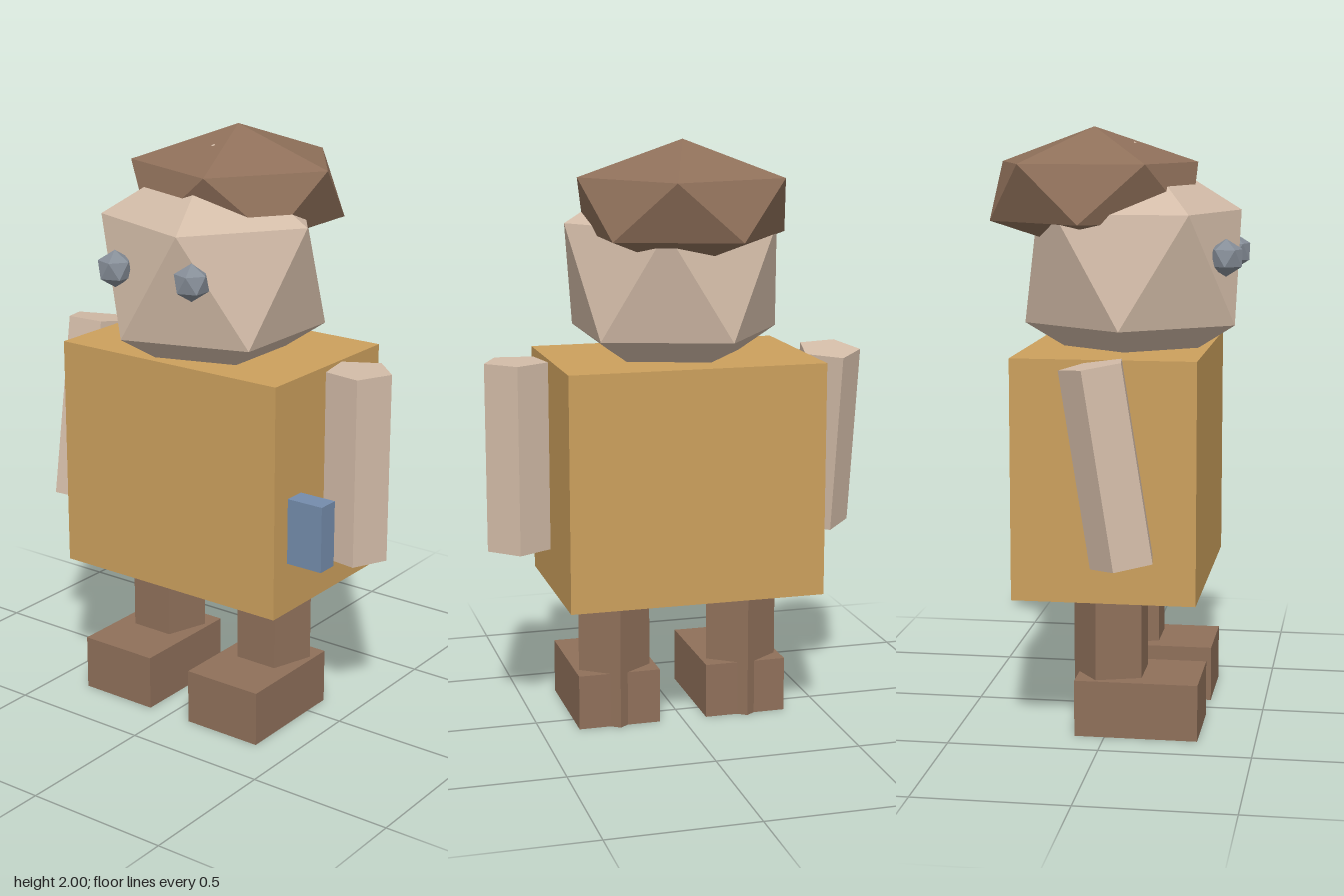
import * as THREE from 'three';

const mat = (name, color) => {
  const m = new THREE.MeshStandardMaterial({ color });
  m.name = name;
  return m;
};

// Faceted normals, one per face
function faceted(geo) {
  const g = geo.index ? geo.toNonIndexed() : geo;
  g.computeVertexNormals();
  return g;
}

// Icosahedron standing on a vertex: two five-point rings between two poles
function standingIcosahedron(radius, height = radius) {
  const ring = (y, offset) => Array.from({ length: 5 }, (_, k) => {
    const a = (k + offset) * Math.PI * 0.4;
    return [Math.cos(a) * radius * 0.8944, y * height, Math.sin(a) * radius * 0.8944];
  });
  const upper = ring(0.4472, 0), lower = ring(-0.4472, 0.5);
  const top = [0, height, 0], bottom = [0, -height, 0];
  const p = [];
  for (let k = 0; k < 5; k++) {
    const n = (k + 1) % 5;
    p.push(...top, ...upper[n], ...upper[k]);
    p.push(...upper[k], ...upper[n], ...lower[k]);
    p.push(...lower[k], ...upper[n], ...lower[n]);
    p.push(...lower[k], ...lower[n], ...bottom);
  }
  const g = new THREE.BufferGeometry();
  g.setAttribute('position', new THREE.Float32BufferAttribute(p, 3));
  return faceted(g);
}

// Five-sided post with one edge pointing to the back
function post(radius, height, twist = 0) {
  const g = new THREE.CylinderGeometry(radius, radius, height, 5);
  g.rotateY(Math.PI + twist);
  return faceted(g);
}

export function createModel() {
  const model = new THREE.Group();
  const skin = mat('skin', 0xd3bca8);
  const brown = mat('brown', 0x8f705a);
  const ochre = mat('ochre', 0xcca05d);
  const blue = mat('blue', 0x748cac);
  const grey = mat('grey', 0x868e98);

  const add = (name, geo, material, x, y, z) => {
    const m = new THREE.Mesh(geo, material);
    m.name = name;
    m.position.set(x, y, z);
    model.add(m);
    return m;
  };

  // Torso, head and hair
  add('torso', new THREE.BoxGeometry(0.875, 0.795, 0.605), ochre, -0.002, 0.8725, 0.007);
  add('head', standingIcosahedron(0.414), skin, 0, 1.536, 0.047);
  add('hair', standingIcosahedron(0.397, 0.215), brown, 0, 1.785, -0.087);

  // Mirrored limbs and eyes
  for (const [side, s] of [['left', 1], ['right', -1]]) {
    add(side + 'Eye', standingIcosahedron(0.062), grey, s * 0.155, 1.577, 0.372);
    add(side + 'Leg', post(0.132, 0.5), brown, s * 0.228, 0.25, 0.01);
    add(side + 'Foot', new THREE.BoxGeometry(0.285, 0.19, 0.41), brown, s * 0.226, 0.095, 0.105);
    const arm = add(side + 'Arm', post(0.111, 0.64, -s * 0.13), skin, s * 0.55, 0.952, 0.003);
    // The right arm swings slightly forward
    if (s < 0) {
      arm.position.z = 0.045;
      arm.rotation.x = -0.157;
    }
  }

  // Small box on the left hip
  add('hipBox', new THREE.BoxGeometry(0.15, 0.225, 0.075), blue, 0.492, 0.7625, 0.197);

  return model;
}
